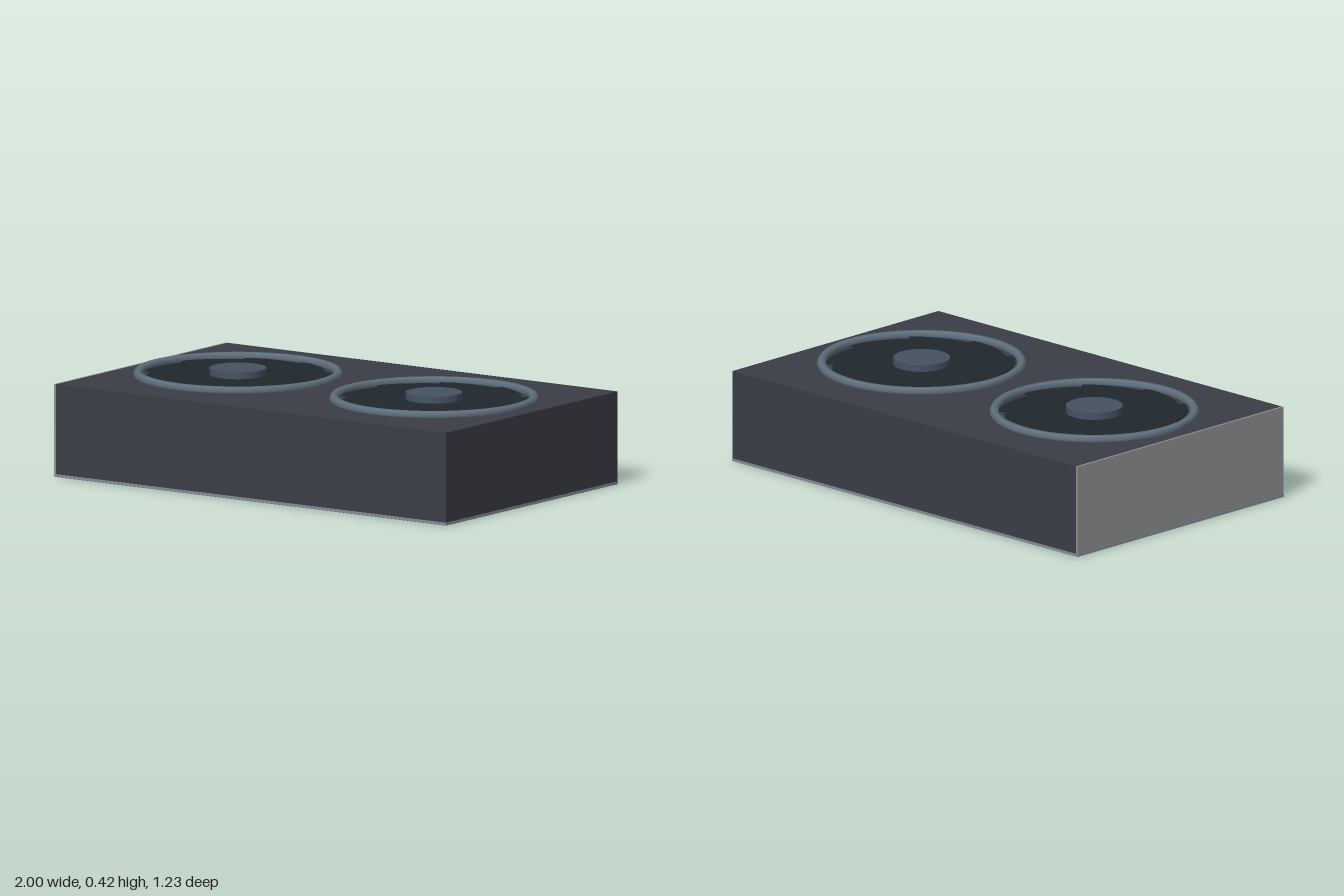
import * as THREE from 'three';

const material = (color) => new THREE.MeshStandardMaterial({ color });
const housingMat = material(0x3a3d46);
const panelMat = material(0x8f9194);
const trimMat = material(0x828d97);
const ringMat = material(0x5f6f7c);
const bladeMat = material(0x1f262d);
const hubMat = material(0x465262);

function add(parent, name, geometry, mat, x = 0, y = 0, z = 0) {
  const mesh = new THREE.Mesh(geometry, mat);
  mesh.name = name;
  mesh.position.set(x, y, z);
  parent.add(mesh);
  return mesh;
}

// Saw-toothed outline: each blade tip sweeps outward, then steps back in
function rotorGeometry(blades, inner, outer, height) {
  const points = [];
  const step = (Math.PI * 2) / blades;
  for (let i = 0; i < blades; i++) {
    const start = THREE.MathUtils.degToRad(2) + i * step;
    for (let k = 0; k <= 6; k++) {
      const t = k / 6;
      const r = inner + (outer - inner) * t;
      const a = start + step * t * 0.995;
      points.push(new THREE.Vector2(Math.cos(a) * r, Math.sin(a) * r));
    }
  }
  const geometry = new THREE.ExtrudeGeometry(new THREE.Shape(points), { depth: height, bevelEnabled: false });
  return geometry.rotateX(-Math.PI / 2);
}

function createFan(x) {
  const fan = new THREE.Group();
  fan.name = 'fan';
  fan.position.set(x, 0.39, 0);
  // Raised shroud ring around the fan opening
  add(fan, 'shroudRing', new THREE.TorusGeometry(0.415, 0.02, 6, 64).rotateX(Math.PI / 2), ringMat, 0, 0.008);
  add(fan, 'fanBlades', rotorGeometry(9, 0.365, 0.402, 0.01), bladeMat, 0, -0.005);
  add(fan, 'fanHub', new THREE.CylinderGeometry(0.118, 0.118, 0.035, 40), hubMat, 0, 0.0165);
  return fan;
}

export function createModel() {
  const model = new THREE.Group();
  model.name = 'twinFanUnit';

  // Main casing with a paler end panel and a thin base trim
  add(model, 'housing', new THREE.BoxGeometry(1.99, 0.39, 1.22), housingMat, 0.004, 0.195);
  add(model, 'endPanel', new THREE.BoxGeometry(0.01, 0.378, 1.222), panelMat, -0.995, 0.2015);
  add(model, 'baseTrim', new THREE.BoxGeometry(2, 0.011, 1.225), trimMat, 0, 0.0065);

  for (const x of [-0.5, 0.5]) model.add(createFan(x));
  return model;
}
